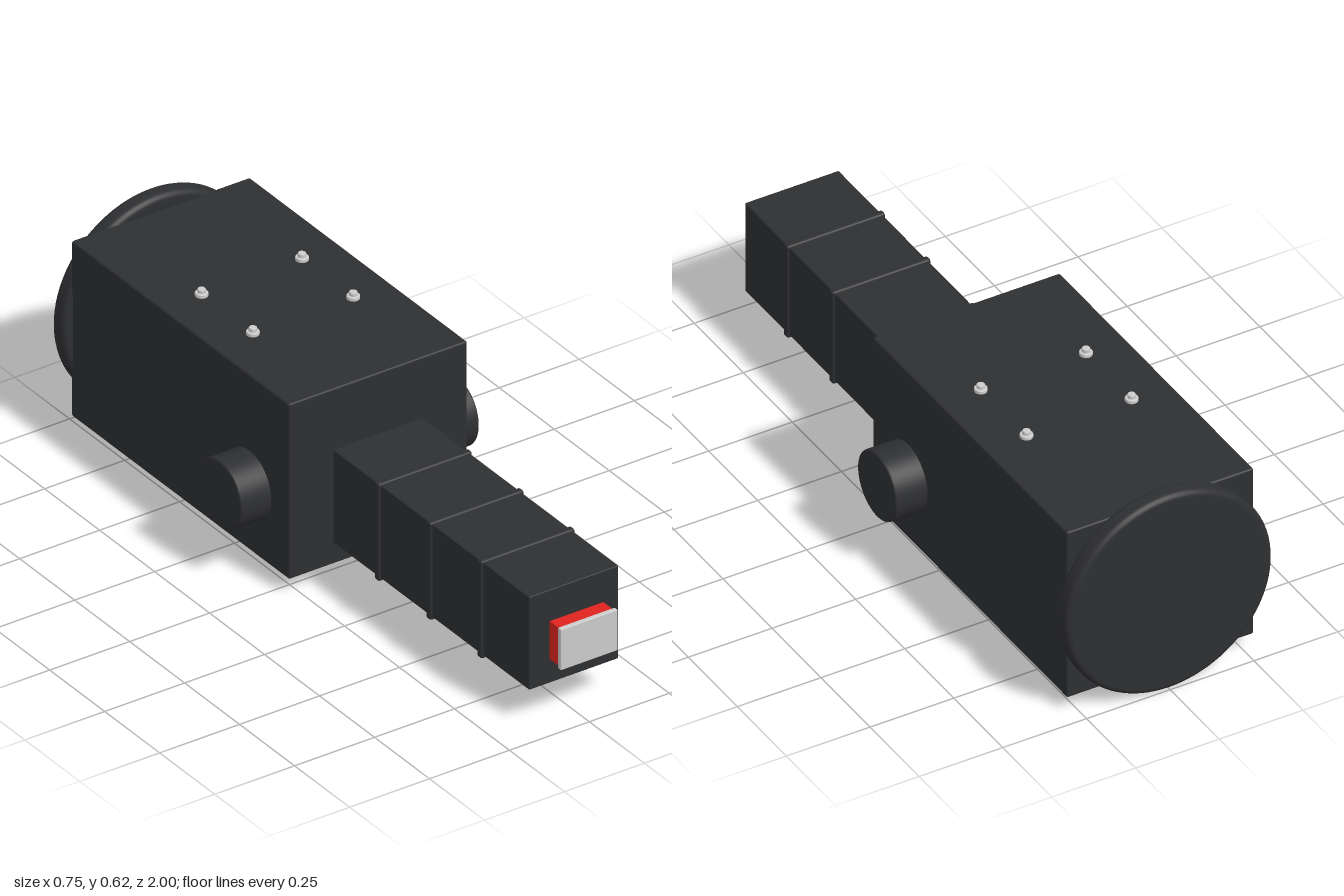
import * as THREE from 'three';
import { RoundedBoxGeometry } from 'three/addons/geometries/RoundedBoxGeometry.js';

const dark = new THREE.MeshStandardMaterial({ color: 0x2e2f31 });
const red = new THREE.MeshStandardMaterial({ color: 0xe0241f });
const silver = new THREE.MeshStandardMaterial({ color: 0xcccccc });

export function createModel() {
  const model = new THREE.Group();

  const add = (name, geometry, material, x, y, z) => {
    const mesh = new THREE.Mesh(geometry, material);
    mesh.name = name;
    mesh.position.set(x, y, z);
    model.add(mesh);
    return mesh;
  };
  const box = (w, h, d, r) => new RoundedBoxGeometry(w, h, d, 3, r);

  // Solid disc along y with rounded rims; profile pieces kept apart so the flat caps stay crisp
  const disc = (radius, height, bevel, segments = 64) => {
    const h = height / 2;
    const points = [new THREE.Vector2(0, -h)];
    for (const [cy, start] of [[-h + bevel, -Math.PI / 2], [h - bevel, 0]]) {
      for (let i = 0; i <= 5; i++) {
        const a = start + (i / 5) * Math.PI / 2;
        points.push(new THREE.Vector2(radius - bevel + bevel * Math.cos(a), cy + bevel * Math.sin(a)));
      }
    }
    points.push(new THREE.Vector2(0, h));
    return new THREE.LatheGeometry(points, segments);
  };

  // Main housing
  add('housing', box(0.558, 0.528, 0.99, 0.006), dark, 0, 0.309, -0.455);

  // Round end cap at the back
  add('endCap', disc(0.308, 0.058, 0.018, 96), dark, 0, 0.309, -0.971).rotation.x = Math.PI / 2;

  // Square barrel with raised bands
  add('barrel', box(0.28, 0.28, 0.92, 0.003), dark, 0, 0.249, 0.47);
  for (const z of [0.245, 0.48, 0.712]) {
    add('barrelBand', box(0.294, 0.294, 0.022, 0.007), dark, 0, 0.247, z);
  }

  // Side knobs
  for (const side of [-1, 1]) {
    add('sideKnob', disc(0.099, 0.14, 0.006), dark, side * 0.303, 0.246, -0.14).rotation.z = -side * Math.PI / 2;
  }

  // Top bolts with washers
  for (const x of [-0.157, 0.157]) {
    for (const z of [-0.302, -0.535]) {
      add('washer', disc(0.018, 0.012, 0.003, 24), silver, x, 0.578, z);
      add('boltHead', disc(0.011, 0.014, 0.003, 24), silver, x, 0.588, z);
    }
  }

  // Red tip block and its face plate
  add('tipBlock', new THREE.BoxGeometry(0.168, 0.114, 0.044), red, 0, 0.247, 0.964);
  add('tipPlate', box(0.178, 0.124, 0.014, 0.003), silver, 0, 0.247, 0.993);

  return model;
}
